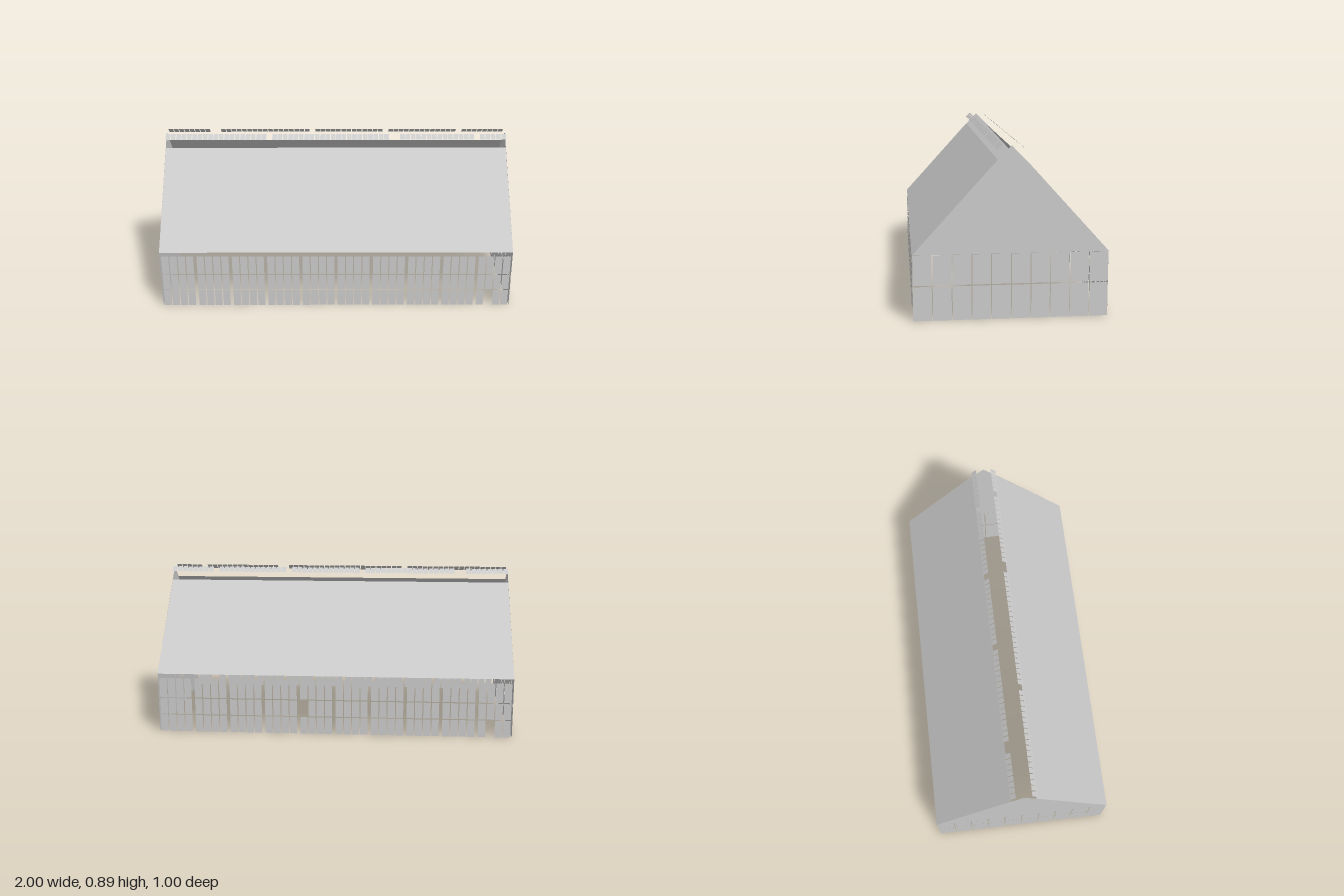
import * as THREE from 'three';

const grey = new THREE.MeshStandardMaterial({ color: 0xcccccc, side: THREE.DoubleSide });
grey.name = 'pale grey';

function addPart(parent, name, geometry, x = 0, y = 0, z = 0) {
  const mesh = new THREE.Mesh(geometry, grey);
  mesh.name = name;
  mesh.position.set(x, y, z);
  parent.add(mesh);
  return mesh;
}

// Flat sheet running along x between two (y, z) edges
function slopedSheet(width, yLow, zLow, yHigh, zHigh) {
  const geo = new THREE.PlaneGeometry(width, 1);
  const pos = geo.attributes.position;
  for (let i = 0; i < pos.count; i++) {
    const t = pos.getY(i) + 0.5;
    pos.setXYZ(i, pos.getX(i), yLow + (yHigh - yLow) * t, zLow + (zHigh - zLow) * t);
  }
  geo.computeVertexNormals();
  return geo;
}

// Long wall: ten bays, each four panes wide and three high
function longWall(name, missing) {
  const wall = new THREE.Group();
  wall.name = name;
  const rows = [[0.002, 0.099], [0.105, 0.197], [0.203, 0.315]];
  for (let bay = 0; bay < 10; bay++) {
    for (let col = 0; col < 4; col++) {
      rows.forEach(([low, high], row) => {
        if (missing.includes(`${bay}-${col}-${row}`)) return;
        const x = -0.9 + bay * 0.2 + (col - 1.5) * 0.0467;
        addPart(wall, 'wallPane', new THREE.PlaneGeometry(0.041, high - low), x, (low + high) / 2);
      });
    }
  }
  return wall;
}

// End wall: two rows of ten panels under a gable
function endWall(name) {
  const wall = new THREE.Group();
  wall.name = name;
  for (let col = 0; col < 10; col++) {
    for (const [low, high] of [[0, 0.177], [0.183, 0.339]]) {
      addPart(wall, 'endPanel', new THREE.PlaneGeometry(0.095, high - low),
        -0.45 + col * 0.1, (low + high) / 2);
    }
  }
  const outline = [[-0.5, 0.34], [0.5, 0.34], [0.1, 0.782], [0, 0.885], [-0.1, 0.782]];
  const shape = new THREE.Shape(outline.map(([x, y]) => new THREE.Vector2(x, y)));
  addPart(wall, 'gable', new THREE.ShapeGeometry(shape));
  return wall;
}

// One roof slope with its row of raised ridge flaps and hanging lamps, facing +z
function roofSide(name, missing) {
  const side = new THREE.Group();
  side.name = name;
  addPart(side, 'roofSlope', slopedSheet(2, 0.34, 0.5, 0.812, 0.068));
  const count = 64, pitch = 2 / count;
  for (let i = 0; i < count; i++) {
    if (missing.includes(i)) continue;
    addPart(side, 'ridgeFlap', slopedSheet(pitch - 0.004, 0.863, 0.073, 0.889, 0.044),
      -1 + (i + 0.5) * pitch);
  }
  for (let i = 0; i < 10; i++) {
    addPart(side, 'lamp', new THREE.SphereGeometry(0.009, 12, 8), -0.9 + i * 0.2, 0.46, 0.317);
  }
  return side;
}

export function createModel() {
  const hall = new THREE.Group();
  hall.name = 'hall';

  const frontWall = longWall('frontWall', ['9-1-0']);
  frontWall.position.z = 0.5;
  const backWall = longWall('backWall', ['9-2-0', '4-3-1'].map((key) => {
    // Bays are counted from the other end once the wall is turned round
    const [bay, col, row] = key.split('-').map(Number);
    return `${bay}-${3 - col}-${row}`;
  }));
  backWall.position.z = -0.5;
  backWall.rotation.y = Math.PI;

  const leftEnd = endWall('leftEnd');
  leftEnd.position.x = 1;
  leftEnd.rotation.y = Math.PI / 2;
  const rightEnd = endWall('rightEnd');
  rightEnd.position.x = -1;
  rightEnd.rotation.y = -Math.PI / 2;

  const frontRoof = roofSide('frontRoof', [19, 42, 43, 58]);
  const backRoof = roofSide('backRoof', [8, 9, 27, 41, 55].map((i) => 63 - i));
  backRoof.rotation.y = Math.PI;

  hall.add(frontWall, backWall, leftEnd, rightEnd, frontRoof, backRoof);
  return hall;
}
